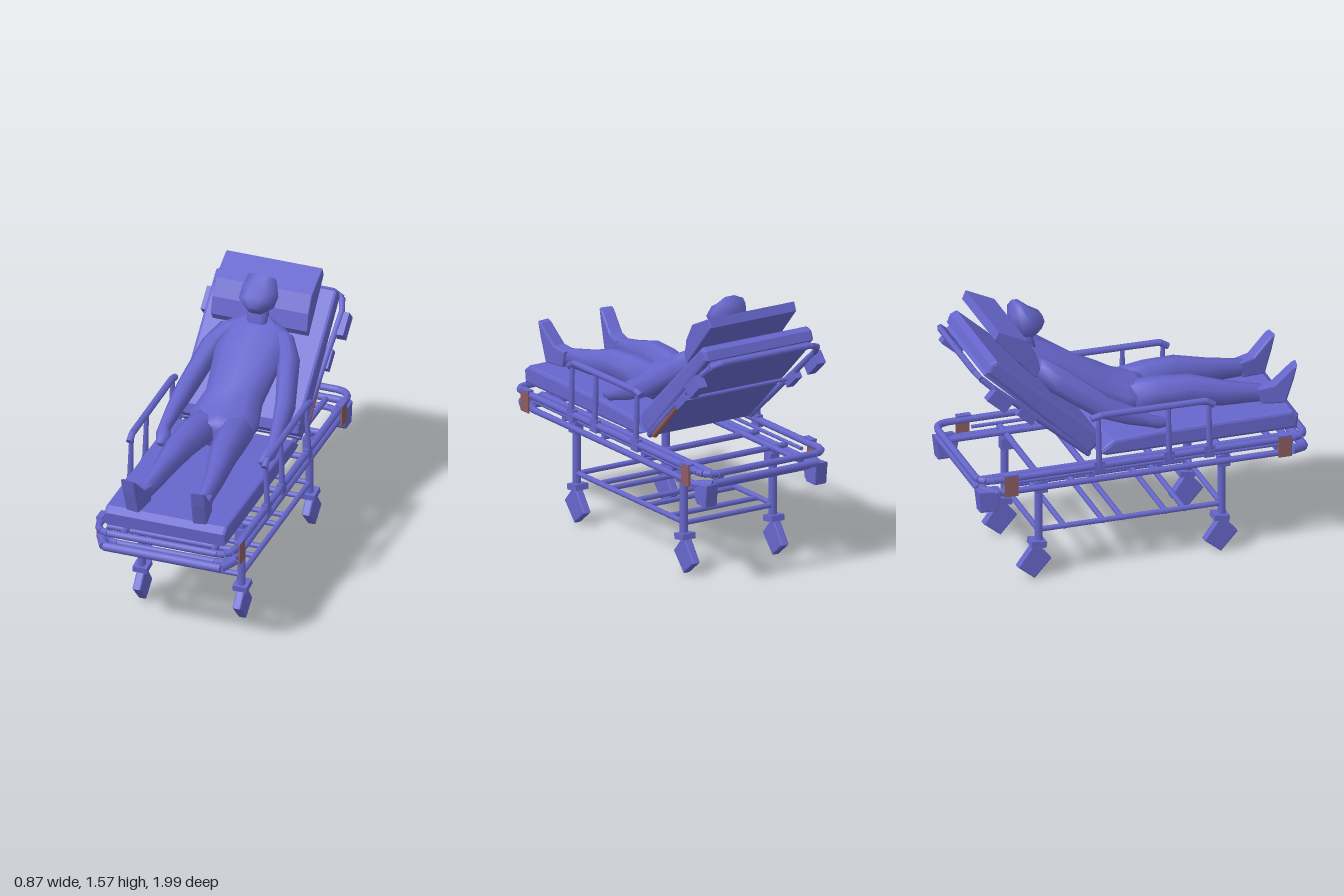
import * as THREE from 'three';

export function createModel() {
  const model = new THREE.Group();
  const blue = new THREE.MeshStandardMaterial({ color: 0x6666cc });
  blue.name = 'periwinkle blue';
  const brown = new THREE.MeshStandardMaterial({ color: 0x8c5c60 });
  brown.name = 'reddish brown';
  const V = (x, y, z) => new THREE.Vector3(x, y, z);

  const add = (name, geo, mat = blue) => {
    const m = new THREE.Mesh(geo, mat);
    m.name = name;
    model.add(m);
    return m;
  };
  const box = (name, w, h, d, x, y, z, tilt = 0, mat = blue) => {
    const m = add(name, new THREE.BoxGeometry(w, h, d), mat);
    m.position.set(x, y, z);
    m.rotation.x = tilt;
    return m;
  };
  // Round bar between two points
  const rod = (name, a, b, r, mat = blue, r2 = r) => {
    const p = V(...a), q = V(...b);
    const m = add(name, new THREE.CylinderGeometry(r2, r, p.distanceTo(q), 8), mat);
    m.position.copy(p).lerp(q, 0.5);
    m.quaternion.setFromUnitVectors(V(0, 1, 0), q.sub(p).normalize());
    return m;
  };
  const chain = (name, pts, r) => pts.slice(1).forEach((p, i) => rod(name, pts[i], p, r));
  // Side outline of [z, y] points extruded across x
  const slab = (name, pts, x, width, bevel = 0) => {
    const shape = new THREE.Shape(pts.map(([z, y]) => new THREE.Vector2(z, y)));
    const geo = new THREE.ExtrudeGeometry(shape, {
      depth: width - 2 * bevel, bevelEnabled: bevel > 0, bevelSize: bevel,
      bevelThickness: bevel, bevelOffset: -bevel, bevelSegments: 2,
    });
    geo.rotateY(-Math.PI / 2).translate(x + width / 2 - bevel, 0, 0);
    return add(name, geo);
  };
  // Oval rings [x, y, z, half width, half thickness, tilt], listed from head to feet
  const loft = (name, rings, n = 8) => {
    const pos = [], idx = [];
    for (const [x, y, z, rx, rt, t] of rings) {
      for (let j = 0; j < n; j++) {
        const a = ((j + 0.5) / n) * Math.PI * 2, u = rt * Math.sin(a);
        pos.push(x + rx * Math.cos(a), y + u * Math.cos(t), z + u * Math.sin(t));
      }
    }
    for (let i = 0; i < rings.length - 1; i++) {
      for (let j = 0; j < n; j++) {
        const a = i * n + j, b = i * n + (j + 1) % n;
        idx.push(a, b, b + n, a, b + n, a + n);
      }
    }
    const last = (rings.length - 1) * n;
    for (let j = 1; j < n - 1; j++) {
      idx.push(0, j + 1, j, last, last + j, last + j + 1);
    }
    const geo = new THREE.BufferGeometry();
    geo.setAttribute('position', new THREE.Float32BufferAttribute(pos, 3));
    geo.setIndex(idx);
    geo.computeVertexNormals();
    return add(name, geo);
  };
  // Closed level loop with rounded corners
  const loop = (name, w, y, l, c, r) => {
    const pts = [];
    for (let k = 0; k < 4; k++) {
      const sx = k === 0 || k === 3 ? 1 : -1, sz = k < 2 ? 1 : -1;
      for (let i = 0; i <= 3; i++) {
        const a = (k + i / 3) * Math.PI / 2;
        pts.push([sx * (w - c) + c * Math.cos(a), y, sz * (l - c) + c * Math.sin(a)]);
      }
    }
    chain(name, [...pts, pts[0]], r);
  };

  // Mattress and raised back
  slab('seatMattress', [[0.93, 0.72], [0.94, 0.8], [0.9, 0.83], [0.1, 0.825],
    [-0.16, 0.81], [-0.25, 0.74], [-0.2, 0.72]], 0, 0.73, 0.018);
  slab('backMattress', [[-0.24, 0.81], [-0.25, 0.87], [-0.85, 1.405], [-0.89, 1.39],
    [-0.91, 1.34], [-0.31, 0.745]], 0, 0.73, 0.018);
  slab('backPanel', [[-0.29, 0.755], [-0.9, 1.33], [-0.92, 1.315], [-0.305, 0.735]], 0, 0.66);
  slab('pillow', [[-0.6, 1.235], [-0.57, 1.28], [-0.595, 1.38], [-0.65, 1.475],
    [-0.82, 1.555], [-0.842, 1.505]], 0, 0.58, 0.006);

  // Back support tubes
  chain('backFrame', [[-0.34, 0.74, -0.3], [-0.38, 1.26, -0.89], [-0.36, 1.31, -0.945],
    [-0.3, 1.33, -0.965], [0.3, 1.33, -0.965], [0.36, 1.31, -0.945],
    [0.38, 1.26, -0.89], [0.34, 0.74, -0.3]], 0.018);
  rod('backCrossbar', [-0.36, 1.04, -0.65], [0.36, 1.04, -0.65], 0.012);
  rod('backStrut', [0.355, 0.76, -0.37], [0.355, 1.02, -0.635], 0.017, brown);

  // Bed frame
  loop('upperFrame', 0.407, 0.69, 0.97, 0.08, 0.021);
  loop('lowerFrame', 0.39, 0.6, 0.91, 0.1, 0.019);
  chain('footBumper', [[-0.4, 0.61, 0.88], [-0.35, 0.6, 0.97], [0.35, 0.6, 0.97], [0.4, 0.61, 0.88]], 0.027);
  chain('headBumper', [[-0.4, 0.61, -0.86], [-0.35, 0.63, -0.96], [0.35, 0.63, -0.96], [0.4, 0.61, -0.86]], 0.022);
  for (const z of [0.8, 0.5, 0.1, -0.3, -0.585]) {
    rod('deckCrossbar', [-0.39, 0.63, z], [0.39, 0.63, z], 0.019);
  }
  for (const z of [0.5, 0.28, 0.17, -0.09, -0.2, -0.43, -0.585]) {
    rod('basketCrossbar', [-0.3, 0.29, z], [0.3, 0.29, z], 0.016);
  }

  for (const s of [-1, 1]) {
    rod('deckRail', [s * 0.27, 0.645, 0.9], [s * 0.27, 0.645, -0.92], 0.018);
    rod('middleRail', [s * 0.385, 0.65, 0.8], [s * 0.385, 0.65, -0.75], 0.011);
    rod('basketRail', [s * 0.3, 0.295, 0.5], [s * 0.3, 0.295, -0.585], 0.016);
    slab('cornerBox', [[-0.84, 0.62], [-0.86, 0.52], [-0.88, 0.5], [-0.965, 0.5],
      [-0.98, 0.63]], s * 0.37, 0.08, 0.006);

    // Colour bands on the frame corners, under small clips
    for (const z of [0.835, -0.79]) {
      box('cornerBand', 0.009, 0.125, 0.08, s * 0.4265, 0.65, z, 0, brown);
      box('cornerClip', 0.036, 0.01, 0.084, s * 0.415, 0.715, z);
    }

    // Legs and casters
    for (const [z, wheelZ] of [[0.5, 0.49], [-0.585, -0.615]]) {
      rod('leg', [s * 0.3, 0.22, z], [s * 0.3, 0.62, z], 0.024);
      box('legBracket', 0.055, 0.07, 0.07, s * 0.3, 0.565, z + 0.01);
      box('casterMount', 0.085, 0.035, 0.09, s * 0.3, 0.218, z - 0.01, 0.15);
      slab('casterWheel', [[wheelZ + 0.1, 0.115], [wheelZ + 0.035, 0.19],
        [wheelZ - 0.005, 0.215], [wheelZ - 0.1, 0.085], [wheelZ, 0.005]], s * 0.3, 0.05, 0.008);
    }

    // Side guard
    chain('guardRail', [[s * 0.405, 0.965, 0.42], [s * 0.405, 0.995, 0.37],
      [s * 0.405, 1.0, -0.25], [s * 0.405, 0.985, -0.31]], 0.02);
    for (const z of [0.39, 0.15, -0.265]) {
      rod('guardPost', [s * 0.412, 0.68, z], [s * 0.403, 0.98, z], 0.019, blue, 0.014);
      box('guardFoot', 0.035, 0.07, 0.065, s * 0.408, 0.685, z);
    }

    // Pads on the back frame
    box('backPad', 0.055, 0.08, 0.14, s * 0.4, 1.185, -0.855, 0.72);
    box('smallBackPad', 0.045, 0.05, 0.12, s * 0.37, 1.05, -0.685, 0.72);

    // Patient limbs
    loft('arm', [
      [s * 0.16, 1.25, -0.545, 0.06, 0.05, 0.7], [s * 0.225, 1.17, -0.45, 0.065, 0.08, 0.7],
      [s * 0.295, 1.0, -0.21, 0.058, 0.07, 0.6], [s * 0.315, 0.93, -0.05, 0.045, 0.055, 0.4],
      [s * 0.325, 0.88, 0.07, 0.035, 0.035, 0.4], [s * 0.315, 0.86, 0.12, 0.045, 0.035, 0.3],
      [s * 0.305, 0.845, 0.19, 0.025, 0.018, 0.2]]);
    loft('leg', [
      [s * 0.09, 0.925, 0.0, 0.1, 0.1, 0.1], [s * 0.11, 0.94, 0.18, 0.095, 0.1, 0],
      [s * 0.13, 0.945, 0.36, 0.082, 0.09, 0.1], [s * 0.155, 0.905, 0.56, 0.055, 0.075, 0.1],
      [s * 0.175, 0.88, 0.8, 0.035, 0.05, 0]]);
    const foot = slab('foot', [[0.76, 0.925], [0.78, 0.83], [0.92, 0.825], [0.965, 0.97],
      [0.985, 1.055], [0.96, 1.045], [0.85, 0.94]], 0, 0.085, 0.01);
    foot.position.x = s * 0.06;
    foot.rotation.y = s * 0.155;
  }

  // Patient body
  loft('torso', [
    [0, 1.31, -0.6, 0.07, 0.05, 0.65], [0, 1.25, -0.56, 0.2, 0.07, 0.65],
    [0, 1.165, -0.42, 0.205, 0.105, 0.6], [0, 1.01, -0.18, 0.17, 0.115, 0.55],
    [0, 0.945, -0.03, 0.205, 0.11, 0.35], [0, 0.935, 0.06, 0.19, 0.1, 0.1],
    [0, 0.93, 0.13, 0.13, 0.08, 0]], 10);
  loft('head', [
    [0, 1.545, -0.63, 0.085, 0.05, 0.75], [0, 1.47, -0.59, 0.11, 0.085, 0.75],
    [0, 1.43, -0.53, 0.105, 0.09, 0.75], [0, 1.395, -0.495, 0.045, 0.065, 0.75]]);
  loft('neck', [[0, 1.43, -0.59, 0.055, 0.05, 0.8], [0, 1.27, -0.54, 0.07, 0.05, 0.7]]);

  return model;
}
